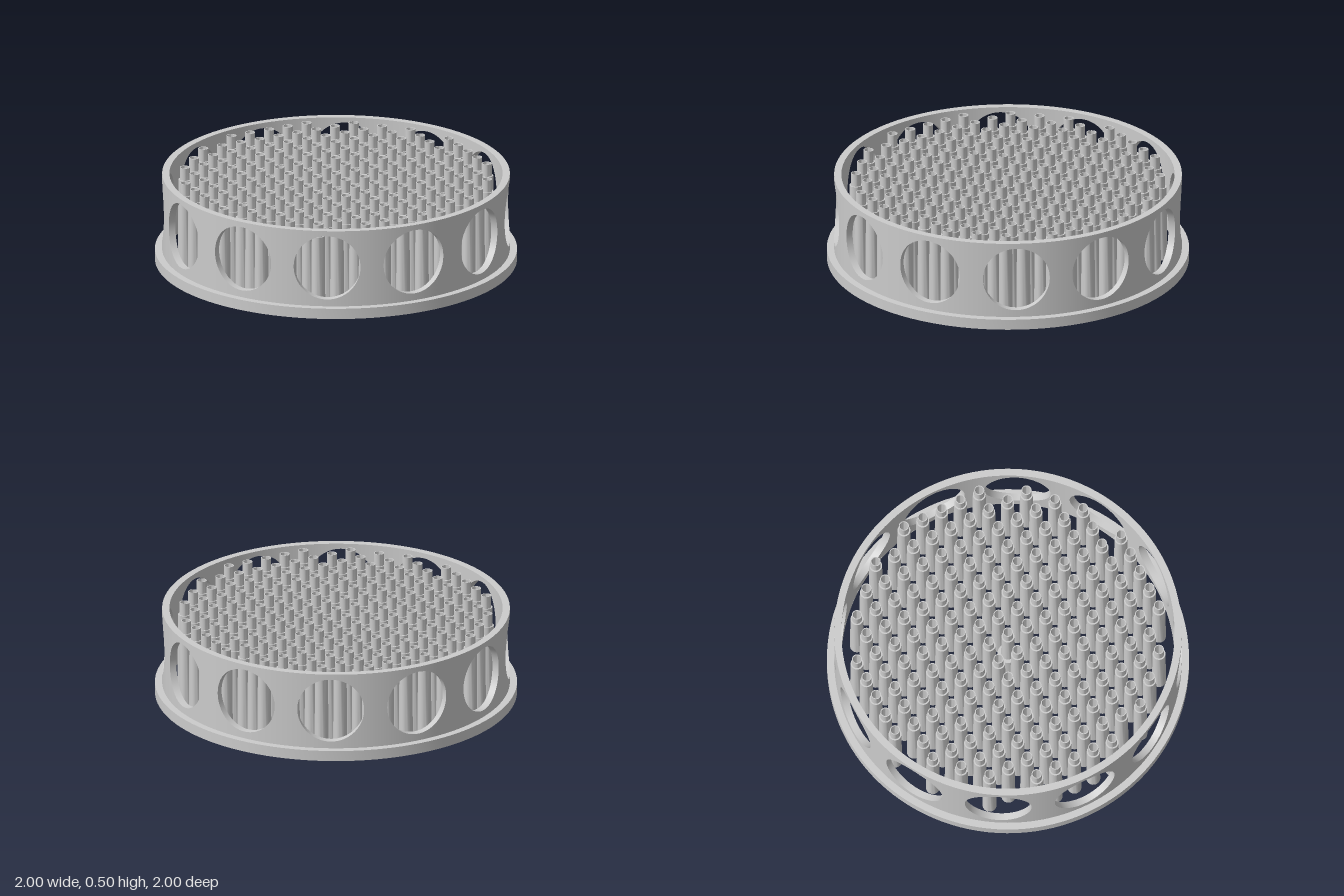
import * as THREE from 'three';
import { toCreasedNormals } from 'three/addons/utils/BufferGeometryUtils.js';
import { ParametricGeometry } from 'three/addons/geometries/ParametricGeometry.js';

const R_OUT = 0.96, R_IN = 0.92;          // wall radii
const WALL_BOTTOM = 0.06, WALL_TOP = 0.5;
const WINDOWS = 12, WINDOW_R = 0.185, WINDOW_Y = 0.285;
const PITCH = 0.1165;                     // tube grid spacing

const material = new THREE.MeshStandardMaterial({ color: 0xcccccc, side: THREE.DoubleSide });

function addMesh(parent, name, geometry) {
  const mesh = new THREE.Mesh(geometry, material);
  mesh.name = name;
  parent.add(mesh);
  return mesh;
}

// Revolves [radius, height] pairs, keeping edges sharp
function lathe(pairs, segments) {
  const points = pairs.map(([r, y]) => new THREE.Vector2(r, y));
  return toCreasedNormals(new THREE.LatheGeometry(points, segments), 0.6);
}

// Point on one curved panel: k = 0 on the window edge, k = 1 on the panel border
function panelPoint(radius, t, k, target) {
  const c = Math.cos(t), s = Math.sin(t), m = Math.max(Math.abs(c), Math.abs(s));
  const holeAngle = Math.asin(WINDOW_R * c / radius);
  const holeY = WINDOW_Y + WINDOW_R * s;
  const borderAngle = (c / m) * Math.PI / WINDOWS;
  const borderY = THREE.MathUtils.lerp(WALL_BOTTOM, WALL_TOP, (s / m + 1) / 2);
  const angle = THREE.MathUtils.lerp(holeAngle, borderAngle, k);
  const y = THREE.MathUtils.lerp(holeY, borderY, k);
  return target.set(radius * Math.sin(angle), y, radius * Math.cos(angle));
}

export function createModel() {
  const model = new THREE.Group();
  model.name = 'tubeRack';

  // Foot flange with a stacking recess underneath
  addMesh(model, 'footFlange', lathe([
    [R_IN, 0.06], [R_IN, 0.045], [0.962, 0.045], [0.962, 0],
    [1, 0], [1, 0.06], [R_OUT - 0.01, 0.06],
  ], 120));

  // Wall: repeated curved panels, each with a round window
  const wall = new THREE.Group();
  wall.name = 'windowedWall';
  model.add(wall);
  const TAU = Math.PI * 2;
  const outer = new ParametricGeometry((u, v, p) => panelPoint(R_OUT, u * TAU, 1 - v, p), 64, 4);
  const inner = new ParametricGeometry((u, v, p) => panelPoint(R_IN, u * TAU, v, p), 64, 4);
  const bore = new ParametricGeometry(
    (u, v, p) => panelPoint(THREE.MathUtils.lerp(R_OUT, R_IN, v), u * TAU, 0, p), 64, 1);
  for (let i = 0; i < WINDOWS; i++) {
    const panel = new THREE.Group();
    panel.name = 'wallPanel';
    panel.rotation.y = i * TAU / WINDOWS;
    addMesh(panel, 'panelOutside', outer);
    addMesh(panel, 'panelInside', inner);
    addMesh(panel, 'windowEdge', bore);
    wall.add(panel);
  }
  const rim = addMesh(model, 'topRim', new THREE.RingGeometry(R_IN, R_OUT, 120));
  rim.rotation.x = -Math.PI / 2;
  rim.position.y = WALL_TOP;

  // Hollow tubes with a narrower tip, on a square grid inside a circle
  const tubes = new THREE.Group();
  tubes.name = 'tubes';
  model.add(tubes);
  const tubeGeometry = lathe([
    [0.03, 0], [0.039, 0], [0.036, 0.43], [0.028, 0.43], [0.028, 0.5],
    [0.023, 0.5], [0.023, 0.08], [0.03, 0.08], [0.03, 0],
  ], 24);
  for (let i = -7; i <= 7; i++) {
    for (let j = -7; j <= 7; j++) {
      if (i * i + j * j > 53) continue;
      addMesh(tubes, 'tube', tubeGeometry).position.set(i * PITCH, 0, j * PITCH);
    }
  }

  // Collar round the base of the middle tube
  addMesh(model, 'centreCollar', lathe([
    [0.036, 0], [0.058, 0], [0.058, 0.16], [0.036, 0.16],
  ], 32));

  return model;
}
